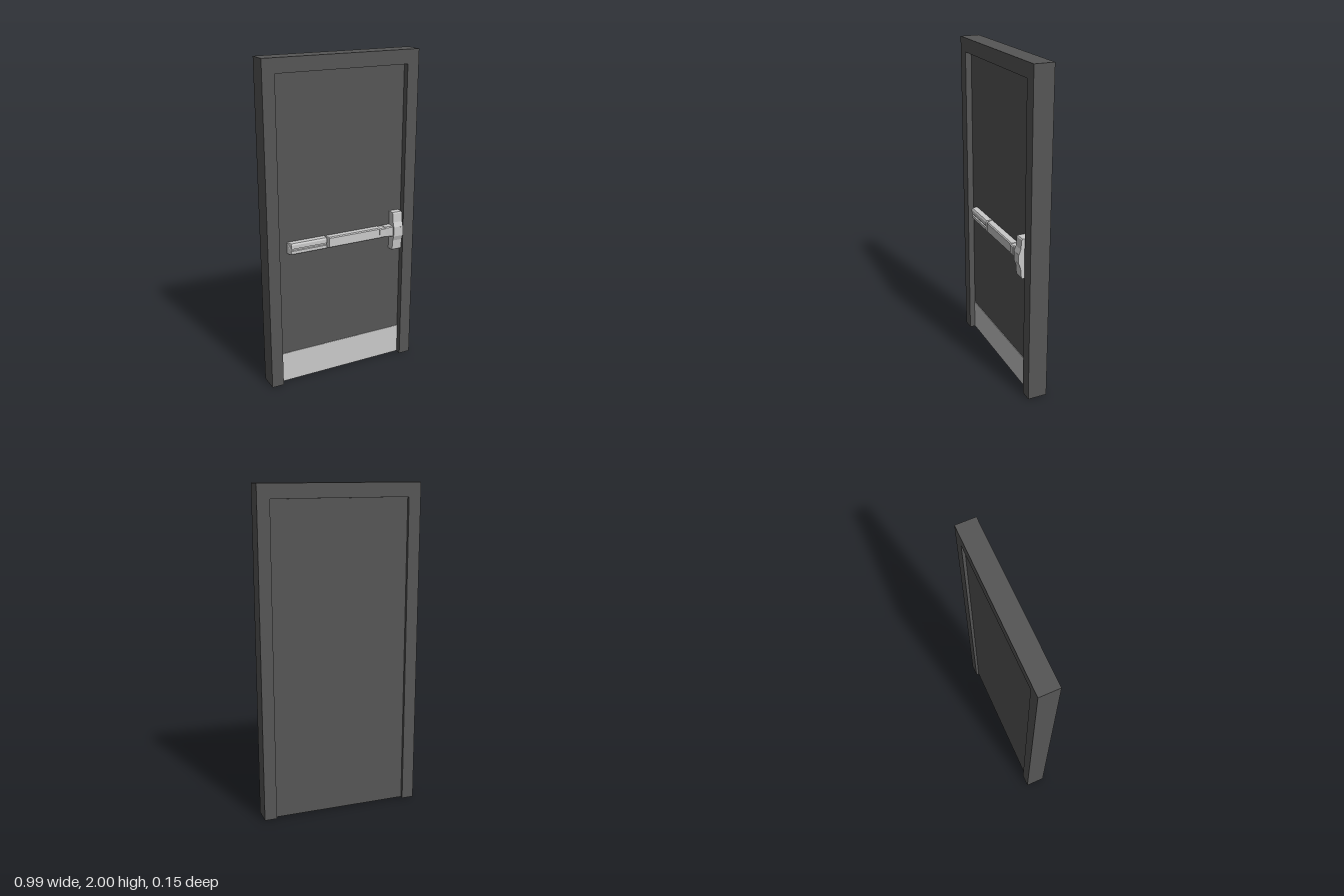
import * as THREE from 'three';

const paint = new THREE.MeshStandardMaterial({ color: 0x565656 });
paint.name = 'dark grey paint';
paint.side = THREE.DoubleSide;
const steel = new THREE.MeshStandardMaterial({ color: 0xcacaca });
steel.name = 'brushed steel';

const DOOR_FRONT = 0.008, DOOR_BACK = -0.058;
const BAR_Y = 0.89;

function add(parent, name, geometry, material) {
  const mesh = new THREE.Mesh(geometry, material);
  mesh.name = name;
  parent.add(mesh);
  return mesh;
}

function box(x0, x1, y0, y1, z0, z1) {
  return new THREE.BoxGeometry(x1 - x0, y1 - y0, z1 - z0)
    .translate((x0 + x1) / 2, (y0 + y1) / 2, (z0 + z1) / 2);
}

// Extrudes a [z, y] profile along x; slopes pull the front of either end inwards or change its depth
function extrudeX(profile, x0, x1, rule) {
  const shape = new THREE.Shape(profile.map(([z, y]) => new THREE.Vector2(-z, y)));
  const g = new THREE.ExtrudeGeometry(shape, { depth: x1 - x0, bevelEnabled: false });
  g.rotateY(Math.PI / 2).translate(x0, 0, 0);
  if (rule) {
    const p = g.attributes.position;
    const v = new THREE.Vector3();
    for (let i = 0; i < p.count; i++) {
      v.fromBufferAttribute(p, i);
      rule(v);
      p.setXYZ(i, v.x, v.y, v.z);
    }
    g.computeVertexNormals();
  }
  return g;
}

// Chamfered bar section, h = half height
const section = (h, z, c = 0.006) => [
  [DOOR_FRONT, BAR_Y - h], [z - c, BAR_Y - h], [z, BAR_Y - h + c],
  [z, BAR_Y + h - c], [z - c, BAR_Y + h], [DOOR_FRONT, BAR_Y + h],
];

// One U-shaped frame, hollow and open at the foot of each jamb
function frameGeometry() {
  const s = new THREE.Shape();
  [[-0.495, 0], [-0.42, 0], [-0.42, 1.915], [0.42, 1.915], [0.42, 0], [0.495, 0], [0.495, 2], [-0.495, 2]]
    .forEach(([x, y], i) => (i ? s.lineTo(x, y) : s.moveTo(x, y)));
  const g = new THREE.ExtrudeGeometry(s, { depth: 0.12, bevelEnabled: false }).translate(0, 0, -0.075);
  const p = g.attributes.position, keep = [];
  for (let i = 0; i < p.count; i += 3) {
    if (Math.max(p.getY(i), p.getY(i + 1), p.getY(i + 2)) > 1e-4) keep.push(i, i + 1, i + 2);
  }
  g.setIndex(keep);
  g.clearGroups();
  return g;
}

export function createModel() {
  const model = new THREE.Group();
  model.name = 'door';

  add(model, 'frame', frameGeometry(), paint);
  add(model, 'doorLeaf', box(-0.419, 0.419, 0.003, 1.914, DOOR_BACK, DOOR_FRONT), paint);
  add(model, 'kickPlate', box(-0.419, 0.419, 0.003, 0.195, DOOR_FRONT, DOOR_FRONT + 0.003), steel);

  const exitDevice = new THREE.Group();
  exitDevice.name = 'exitDevice';
  model.add(exitDevice);

  // Fixed rail with a groove along its face and a sloping end
  const rail = [
    [DOOR_FRONT, 0.855], [0.044, 0.855], [0.05, 0.861], [0.05, 0.879], [0.042, 0.882],
    [0.042, 0.889], [0.05, 0.892], [0.05, 0.915], [0.044, 0.925], [DOOR_FRONT, 0.925],
  ];
  add(exitDevice, 'rail', extrudeX(rail, -0.36, -0.117, (v) => {
    if (v.x < -0.35 && v.z > 0.03) v.x += 0.012;
  }), steel);

  // Push bar, tapering in at its free end
  add(exitDevice, 'pushBar', extrudeX(section(0.034, 0.051), -0.112, 0.25, (v) => {
    if (v.x < -0.11 && v.z > 0.03) v.x += 0.012;
  }), steel);

  add(exitDevice, 'collar', extrudeX(section(0.031, 0.055), 0.245, 0.285), steel);

  // Neck rising towards the latch head
  add(exitDevice, 'neck', extrudeX(section(0.034, 0.05), 0.285, 0.34, (v) => {
    if (v.x > 0.33 && v.z > 0.03) v.z += 0.01;
  }), steel);

  // Latch head: upright case that swells at the bar
  const head = [
    [DOOR_FRONT, 0.765], [0.05, 0.765], [0.055, 0.772], [0.06, 0.83], [0.071, 0.86],
    [0.071, 0.92], [0.06, 0.95], [0.055, 1.005], [0.05, 1.012], [DOOR_FRONT, 1.012],
  ];
  add(exitDevice, 'latchHead', extrudeX(head, 0.337, 0.402), steel);
  add(exitDevice, 'headCover', box(0.37, 0.402, 0.862, 0.918, 0.065, 0.074), steel);

  return model;
}
